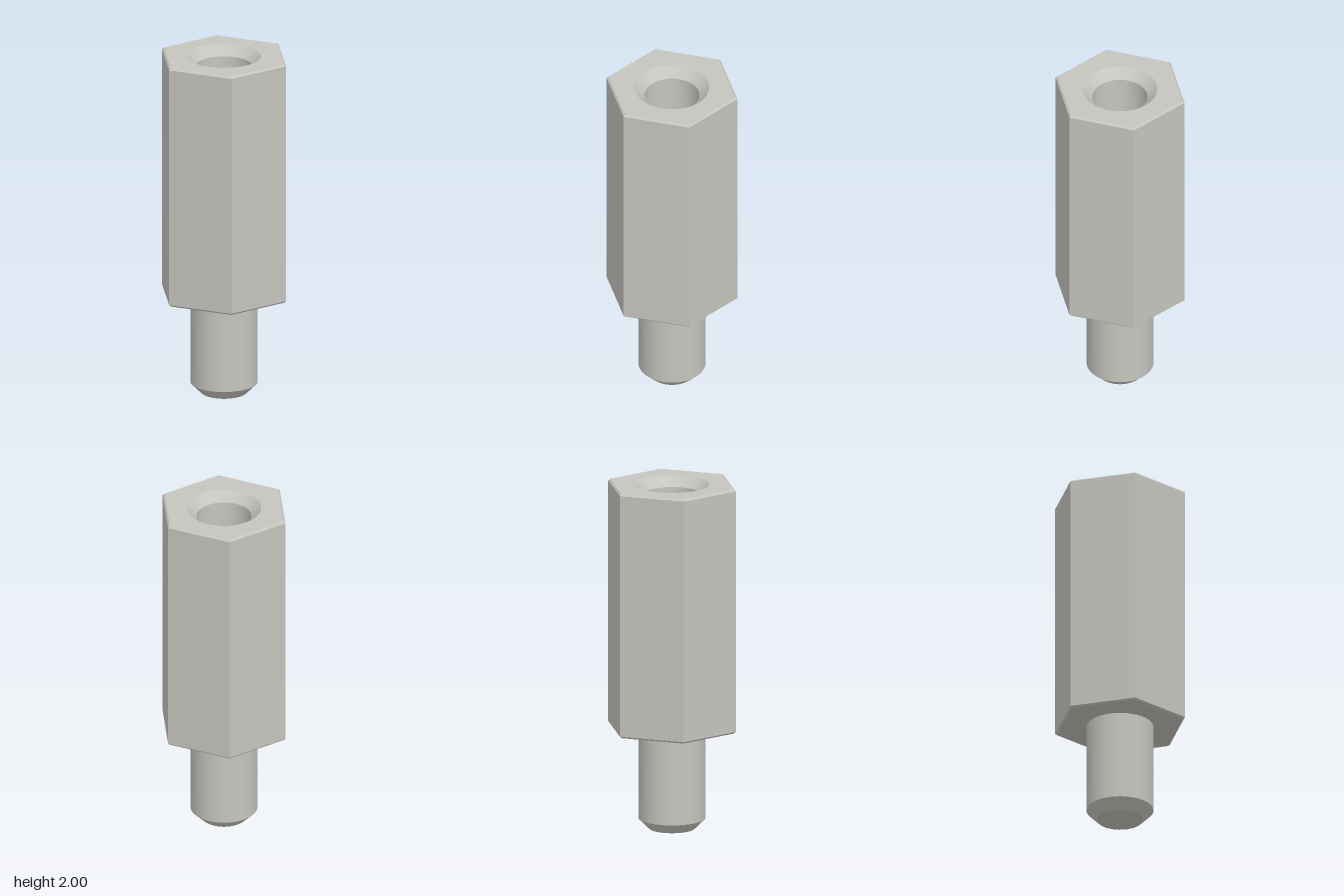
import * as THREE from 'three';
import { toCreasedNormals } from 'three/addons/utils/BufferGeometryUtils.js';

const TOP = 2, SHOULDER = 0.58;          // hex body extents
const HEX = 0.384, BEVEL = 0.01;         // corner radius, edge bevel
const BORE = 0.155, SINK = 0.21, FLOOR = 1.1;
const STUD = 0.19, TIP = 0.13;

// Revolve a profile, keeping its hard edges sharp
function revolve(points, segments, crease) {
  const profile = points.map(([r, y]) => new THREE.Vector2(r, y));
  return toCreasedNormals(new THREE.LatheGeometry(profile, segments), crease);
}

// Flat hexagon with a round hole, lying in the ground plane facing up
function hexFace(radius, holeRadius) {
  const shape = new THREE.Shape();
  for (let i = 0; i < 6; i++) {
    const a = (i * Math.PI) / 3;
    shape[i ? 'lineTo' : 'moveTo'](radius * Math.cos(a), radius * Math.sin(a));
  }
  shape.closePath();
  const hole = new THREE.Path();
  hole.absarc(0, 0, holeRadius, 0, Math.PI * 2, true);
  shape.holes.push(hole);
  return new THREE.ShapeGeometry(shape, 32).rotateX(-Math.PI / 2);
}

export function createModel() {
  const group = new THREE.Group();
  group.name = 'hexStandoff';
  const metal = new THREE.MeshStandardMaterial({ color: 0xc6c4be });
  metal.name = 'satin nickel';

  const add = (name, geometry) => {
    const mesh = new THREE.Mesh(geometry, metal);
    mesh.name = name;
    group.add(mesh);
    return mesh;
  };

  // Six flats with bevelled ends, corners on the x axis
  const inner = HEX - BEVEL * 1.15;
  add('hexBody', revolve([
    [inner, SHOULDER], [HEX, SHOULDER + BEVEL], [HEX, TOP - BEVEL], [inner, TOP],
  ], 6, 0.3).rotateY(Math.PI / 6));

  // End faces
  add('topFace', hexFace(inner, SINK)).position.y = TOP;
  add('shoulderFace', hexFace(inner, STUD - 0.005).rotateX(Math.PI)).position.y = SHOULDER;

  // Countersunk blind bore
  add('bore', revolve([
    [SINK, TOP], [BORE, TOP - 0.055], [BORE, FLOOR], [0, FLOOR],
  ], 64, 0.5));

  // Stud with chamfered tip
  add('stud', revolve([
    [0, 0], [TIP, 0], [STUD, 0.06], [STUD, SHOULDER + 0.005],
  ], 64, 0.5));

  return group;
}
